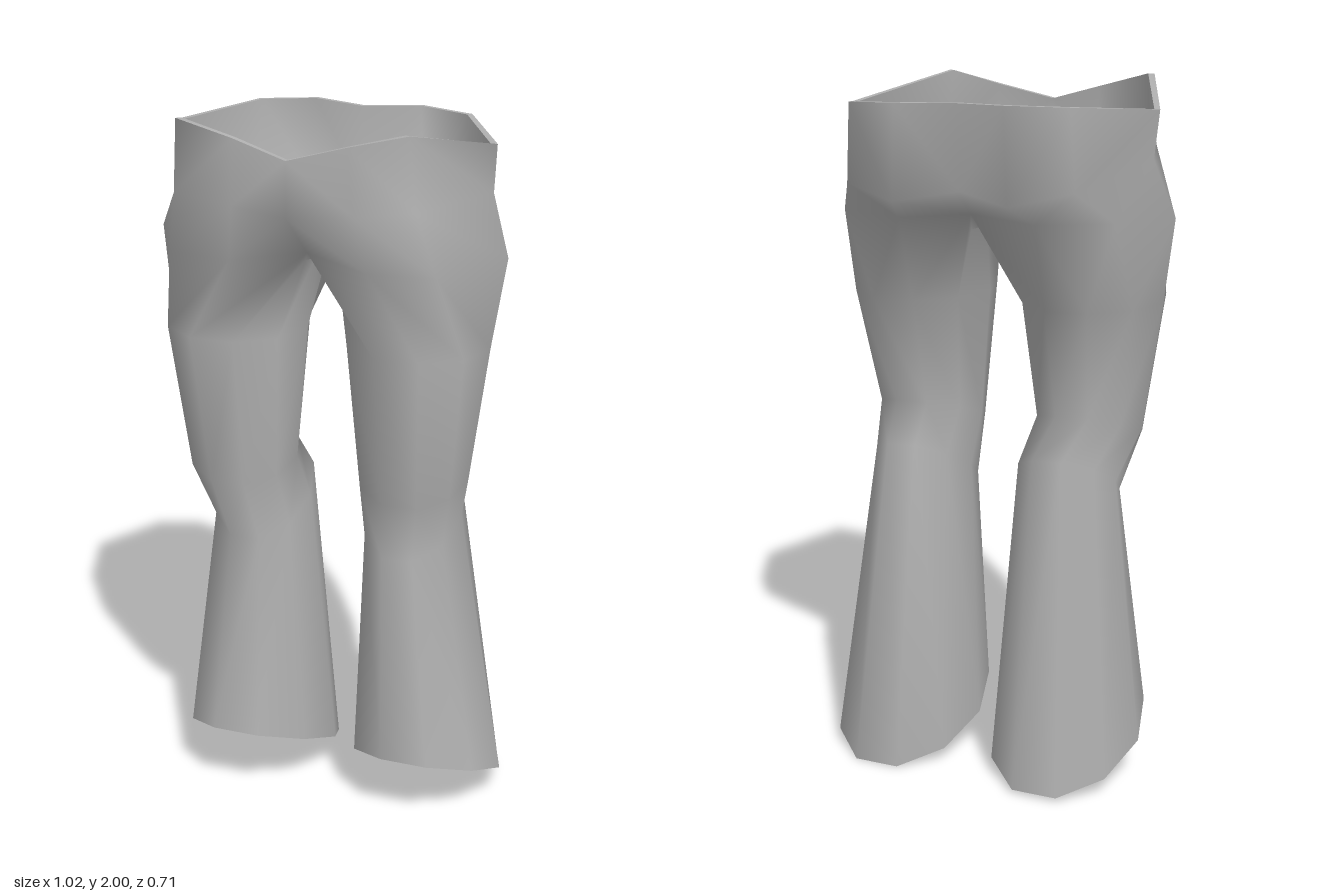
import * as THREE from 'three';
import { mergeVertices } from 'three/addons/utils/BufferGeometryUtils.js';

const V = (x, y, z) => new THREE.Vector3(x, y, z);
const THICKNESS = 0.018;

// Ten-sided leg ring, starting at the inner front and running round the outside
function legRing(cx, cz, rx, rz, yFront, yBack) {
  return Array.from({ length: 10 }, (_, i) => {
    const a = THREE.MathUtils.degToRad(108 - 36 * i);
    const t = Math.sin(a) / 0.951;
    return V(cx + rx * Math.cos(a), (yFront + yBack) / 2 + t * (yFront - yBack) / 2, cz + rz * Math.sin(a));
  });
}

// Triangles of the wearer's left half
function halfCloth() {
  const tris = [];
  const tri = (a, b, c) => tris.push([a, b, c]);
  const quad = (a, b, c, d) => { tri(a, b, c); tri(a, c, d); };
  const band = (top, low, n) => {
    for (let i = 0; i < n; i++) {
      const j = (i + 1) % top.length;
      quad(top[i], low[i], low[j], top[j]);
    }
  };

  // Waist and hips: centre front, round the side, to centre back
  const waist = [V(0, 1.915, 0.345), V(0.155, 1.955, 0.312), V(0.315, 1.993, 0.3), V(0.455, 1.93, -0.03),
    V(0.315, 1.957, -0.3), V(0.155, 1.963, -0.352), V(0, 1.96, -0.295)];
  const hips = [V(0, 1.77, 0.355), V(0.165, 1.78, 0.318), V(0.33, 1.8, 0.303), V(0.445, 1.8, -0.03),
    V(0.33, 1.74, -0.28), V(0.165, 1.705, -0.335), V(0, 1.73, -0.27)];
  const thighTop = [V(0, 1.65, 0.21), V(0.19, 1.63, 0.29), V(0.37, 1.63, 0.265), V(0.497, 1.64, 0.02),
    V(0.4, 1.65, -0.17), V(0.2, 1.645, -0.23), V(0, 1.66, -0.2),
    V(0.045, 1.6, -0.1), V(0.045, 1.6, 0), V(0.045, 1.6, 0.1)];
  band(waist, hips, 6);
  band(hips, thighTop, 6);

  // Crotch strip
  const seam = [-0.1, 0, 0.1].map(z => V(0, 1.615, z));
  tri(thighTop[6], thighTop[7], seam[0]);
  for (let i = 0; i < 2; i++) quad(seam[i], thighTop[7 + i], thighTop[8 + i], seam[i + 1]);
  tri(seam[2], thighTop[9], thighTop[0]);

  // Thigh, bent knee and flared shin
  const rings = [
    thighTop,
    legRing(0.26, 0.065, 0.2, 0.221, 1.4, 1.4),
    legRing(0.249, 0.0975, 0.157, 0.15, 0.98, 1.08),
    legRing(0.225, 0.018, 0.14, 0.181, 0.8, 0.98),
    legRing(0.255, 0.015, 0.22, 0.258, 0.21, 0.008),
  ];
  for (let i = 0; i < rings.length - 1; i++) band(rings[i], rings[i + 1], 10);
  return tris;
}

function geometryOf(points, index) {
  const g = new THREE.BufferGeometry();
  g.setAttribute('position', new THREE.BufferAttribute(new Float32Array(points.flatMap(p => [p.x, p.y, p.z])), 3));
  if (index) g.setIndex(index);
  return g;
}

export function createModel() {
  const group = new THREE.Group();
  group.name = 'trousers';
  const cloth = new THREE.MeshStandardMaterial({ color: 0xb0b0b0 });
  cloth.name = 'grey cloth';
  const add = (name, g) => {
    g.computeVertexNormals();
    const mesh = new THREE.Mesh(g, cloth);
    mesh.name = name;
    group.add(mesh);
  };

  // Mirror the half, then lean the whole garment slightly
  const half = halfCloth();
  const flip = p => V(-p.x, p.y, p.z);
  const all = half.concat(half.map(([a, b, c]) => [flip(a), flip(c), flip(b)]));
  const lean = p => V(p.x + 0.03 * (1 - p.y), p.y - 0.02 * p.x, p.z);
  const outer = mergeVertices(geometryOf(all.flat().map(lean)), 1e-4);
  add('outerCloth', outer);

  // Lining: the outer surface pushed inwards and turned round
  const pos = outer.attributes.position, nor = outer.attributes.normal;
  const outside = [], inside = [];
  for (let i = 0; i < pos.count; i++) {
    const p = new THREE.Vector3().fromBufferAttribute(pos, i);
    const n = new THREE.Vector3().fromBufferAttribute(nor, i);
    // Keep the open edges level
    if (p.y > 1.88 || p.y < 0.3) n.setY(0).normalize();
    outside.push(p);
    inside.push(p.clone().addScaledVector(n, -THICKNESS));
  }
  const index = Array.from(outer.index.array);
  add('lining', geometryOf(inside, index.slice().reverse()));

  // Trim closing the open edges at the waist and hems
  const edges = new Set();
  for (let i = 0; i < index.length; i += 3)
    for (let k = 0; k < 3; k++) edges.add(index[i + k] + '_' + index[i + (k + 1) % 3]);
  const trims = { waistTrim: [], rightHem: [], leftHem: [] };
  for (const e of edges) {
    const [a, b] = e.split('_').map(Number);
    if (edges.has(b + '_' + a)) continue;
    const p = outside[a];
    const name = p.y > 1 ? 'waistTrim' : p.x + outside[b].x < 0.07 ? 'rightHem' : 'leftHem';
    trims[name].push(outside[b], outside[a], inside[a], outside[b], inside[a], inside[b]);
  }
  for (const [name, points] of Object.entries(trims)) add(name, mergeVertices(geometryOf(points), 1e-4));
  return group;
}
